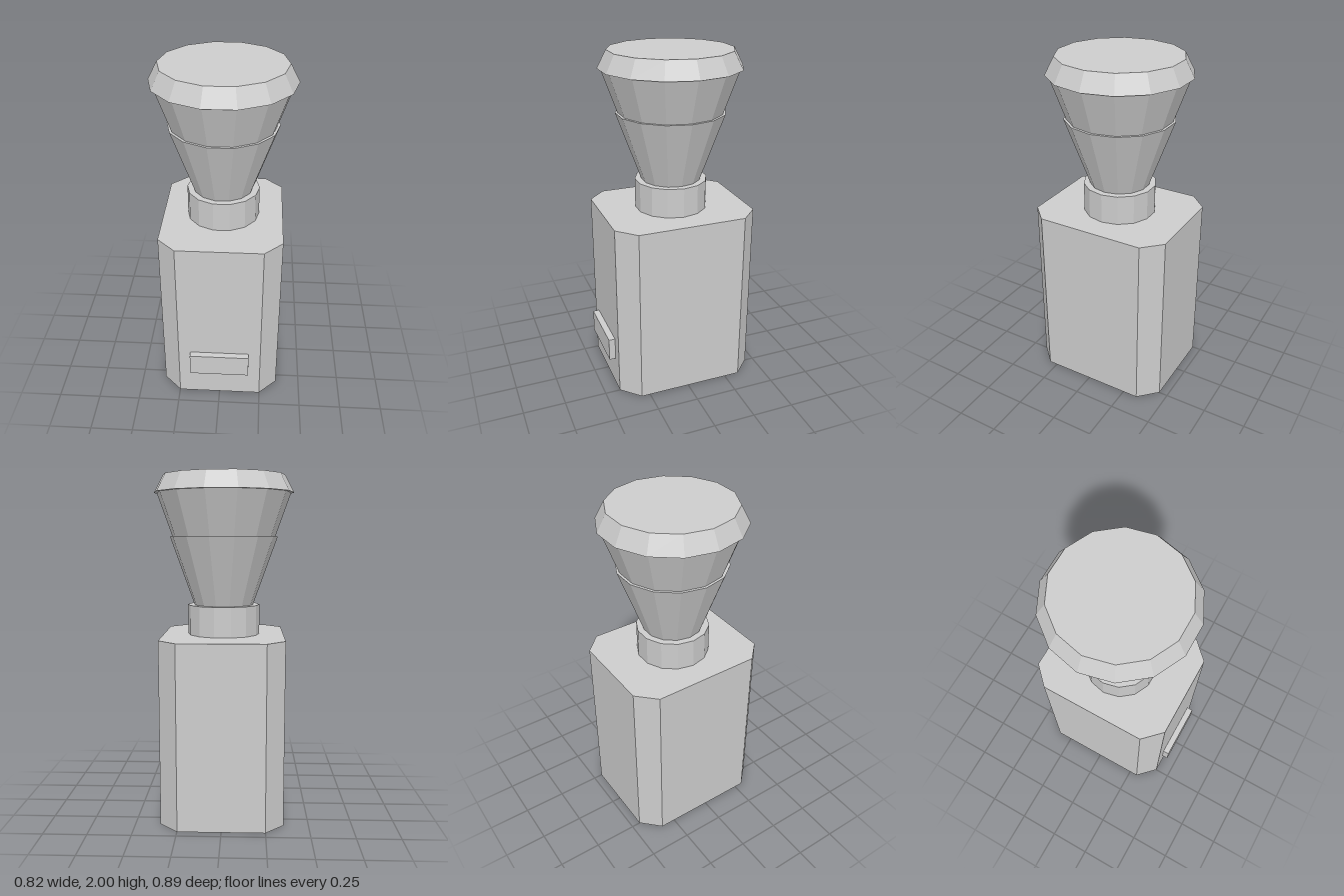
import * as THREE from 'three';

export function createModel() {
  const group = new THREE.Group();
  const grey = new THREE.MeshStandardMaterial({ color: 0xcccccc, flatShading: true });
  grey.name = 'light grey';
  const axisZ = -0.019; // centre line of the body and head

  function add(name, geometry, x, y, z) {
    const mesh = new THREE.Mesh(geometry, grey);
    mesh.name = name;
    mesh.position.set(x, y, z);
    group.add(mesh);
  }

  // Fourteen-sided frustum with corners on the x axis
  function frustum(name, bottomY, bottomR, topY, topR) {
    const height = topY - bottomY;
    const geometry = new THREE.CylinderGeometry(topR, bottomR, height, 14, 1, false, Math.PI / 2);
    add(name, geometry, 0, bottomY + height / 2, axisZ);
  }

  // Body: box with chamfered vertical corners
  const w = 0.355, d = 0.428, c = 0.106;
  const outline = new THREE.Shape([
    [w, c - d], [w, d - c], [w - c, d], [c - w, d],
    [-w, d - c], [-w, c - d], [c - w, -d], [w - c, -d],
  ].map(([x, y]) => new THREE.Vector2(x, y)));
  const body = new THREE.ExtrudeGeometry(outline, { depth: 1.075, bevelEnabled: false });
  body.rotateX(-Math.PI / 2);
  add('body', body, 0, 0, axisZ);

  // Raised plate low on the front
  add('frontPlate', new THREE.BoxGeometry(0.356, 0.14, 0.04), 0, 0.255, 0.427);

  // Neck, two nested cones and the bevelled cap
  frustum('neck', 1.075, 0.213, 1.25, 0.213);
  frustum('lowerCone', 1.25, 0.175, 1.65, 0.318);
  frustum('upperCone', 1.29, 0.175, 1.9, 0.392);
  frustum('cap', 1.9, 0.41, 2, 0.357);

  return group;
}
